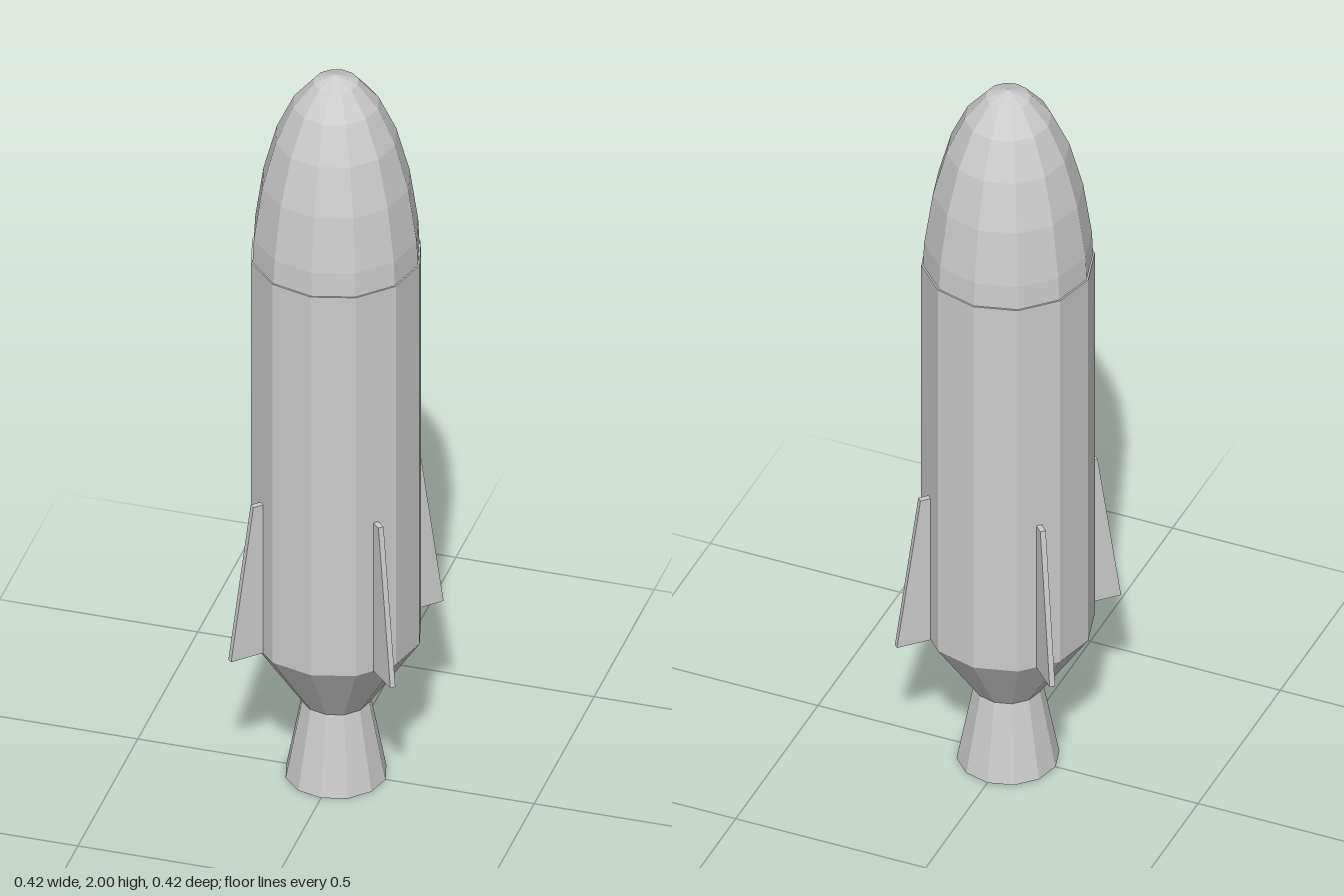
import * as THREE from 'three';

export function createModel() {
  const model = new THREE.Group();
  const material = new THREE.MeshStandardMaterial({ color: 0xcccccc, flatShading: true });
  const SIDES = 12;
  const RADIUS = 0.211;

  function add(name, geometry, y = 0) {
    const mesh = new THREE.Mesh(geometry, material);
    mesh.name = name;
    mesh.position.y = y;
    model.add(mesh);
    return mesh;
  }

  // Tapered twelve-sided section between two heights
  function section(name, rTop, rBottom, y0, y1) {
    return add(name, new THREE.CylinderGeometry(rTop, rBottom, y1 - y0, SIDES), (y0 + y1) / 2);
  }

  section('engineNozzle', 0.084, 0.125, 0, 0.215);
  section('tailCone', RADIUS, 0.085, 0.215, 0.405);
  section('body', RADIUS, RADIUS, 0.405, 1.49);

  // Nose: half ellipsoid whose base sits inside the body
  const nose = new THREE.SphereGeometry(1, SIDES, 6, 0, Math.PI * 2, 0, Math.PI / 2);
  nose.scale(RADIUS, 0.6, RADIUS);
  add('noseCone', nose, 1.4);

  // Four tapered fins on the diagonals
  const outline = new THREE.Shape([
    new THREE.Vector2(0.19, 0.405),
    new THREE.Vector2(0.291, 0.405),
    new THREE.Vector2(0.23, 0.83),
    new THREE.Vector2(0.19, 0.83),
  ]);
  const thickness = 0.014;
  const finGeometry = new THREE.ExtrudeGeometry(outline, { depth: thickness, bevelEnabled: false });
  finGeometry.translate(0, 0, -thickness / 2);
  for (let i = 0; i < 4; i++) {
    add('fin' + (i + 1), finGeometry).rotation.y = Math.PI / 4 + (i * Math.PI) / 2;
  }

  return model;
}
